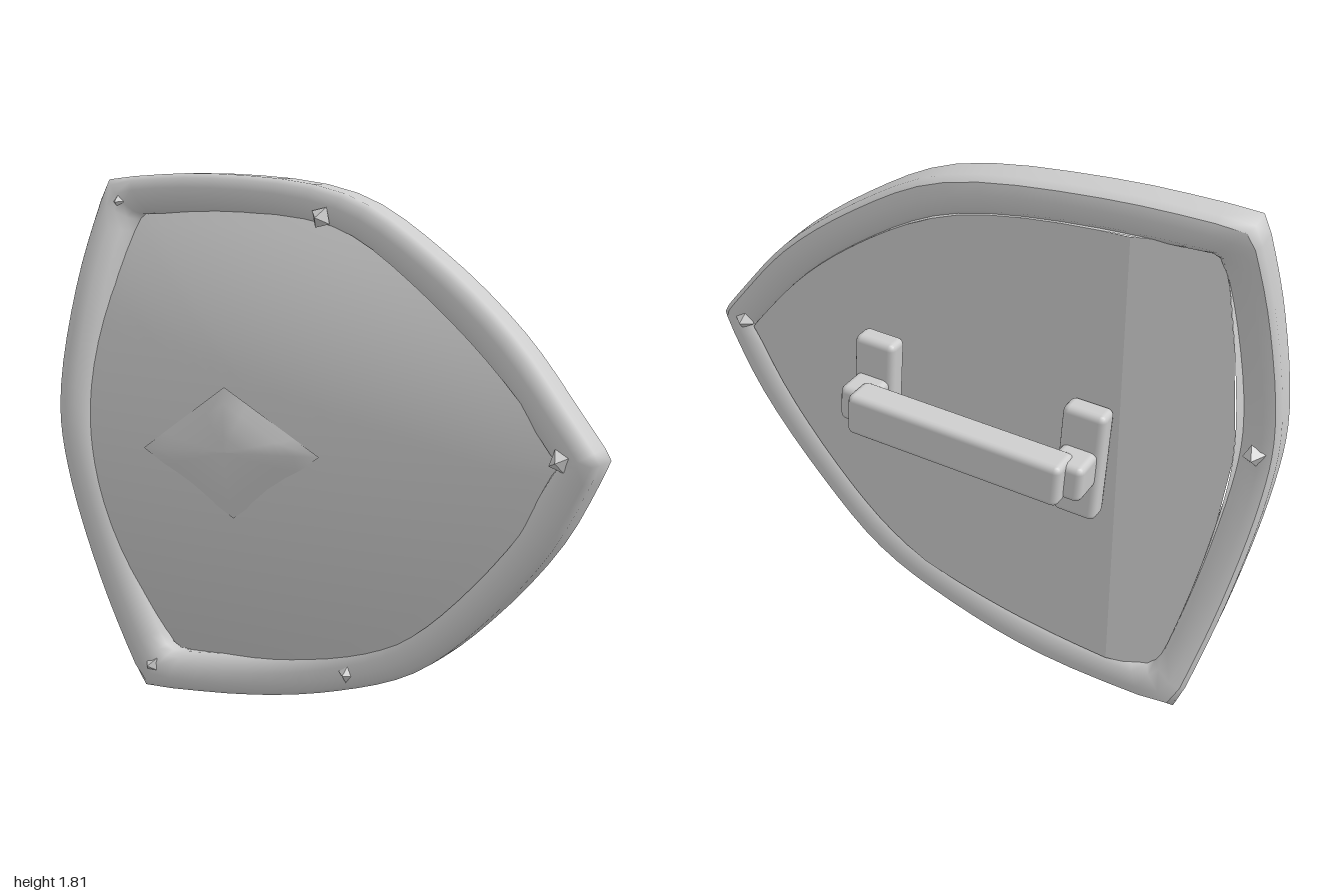
import * as THREE from 'three';
import { RoundedBoxGeometry } from 'three/addons/geometries/RoundedBoxGeometry.js';

const V = (x, y, z) => new THREE.Vector3(x, y, z);
const grey = new THREE.MeshStandardMaterial({ color: 0xcccccc });
const flat = new THREE.MeshStandardMaterial({ color: 0xcccccc, flatShading: true });
const thin = new THREE.MeshStandardMaterial({ color: 0xcccccc, side: THREE.DoubleSide });

// Three curved edges, clockwise from the upper corner; each ends where the next begins
const edges = [
  [[-0.9, 1.8, -0.045], [-0.45, 1.815, -0.03], [0.07, 1.755, 0.01], [0.4, 1.58, 0.06],
    [0.7, 1.35, 0.12], [0.9, 1.13, 0.165], [1.0, 1.01, 0.18]],
  [[1.0, 1.01, 0.18], [0.85, 0.74, 0.155], [0.6, 0.46, 0.11], [0.35, 0.26, 0.06],
    [0.05, 0.14, 0.015], [-0.3, 0.055, -0.025], [-0.79, 0.0, -0.045]],
  [[-0.79, 0.0, -0.045], [-0.9, 0.4, 0.045], [-0.98, 0.8, 0.11], [-1, 1.05, 0.12],
    [-0.96, 1.45, 0.06], [-0.9, 1.8, -0.045]],
];
const outline = edges.flatMap((e) =>
  new THREE.CatmullRomCurve3(e.map((p) => V(...p))).getPoints(24).slice(0, -1));

// Outline moved inward by d (mitred) and along z by dz; corners get rounder further in
function inset(d, dz = 0) {
  const n = outline.length;
  let loop = outline.map((p, i) => {
    const a = p.clone().sub(outline[(i + n - 1) % n]).setZ(0).normalize();
    const b = outline[(i + 1) % n].clone().sub(p).setZ(0).normalize();
    const t = a.clone().add(b).normalize();
    const miter = d / Math.max(0.6, t.dot(a));
    return V(p.x + t.y * miter, p.y - t.x * miter, p.z + dz);
  });
  const w = Math.min(0.25, 0.03 + 2 * d);
  for (let pass = 0; pass < 3; pass++) {
    const last = loop;
    loop = last.map((p, i) => {
      const mid = last[(i + n - 1) % n].clone().add(last[(i + 1) % n]).multiplyScalar(0.5);
      return p.clone().lerp(mid, 2 * w);
    });
  }
  return loop;
}

// Skin over rows of points; faces look along (row direction) x (column direction)
function skin(rows, closed) {
  const n = rows[0].length, index = [];
  for (let j = 0; j < rows.length - 1; j++) {
    for (let i = 0; i < (closed ? n : n - 1); i++) {
      const k = (i + 1) % n, a = j * n + i, b = j * n + k;
      index.push(a, a + n, b, b, a + n, b + n);
    }
  }
  const g = new THREE.BufferGeometry().setFromPoints(rows.flat());
  g.setIndex(index);
  g.computeVertexNormals();
  return g;
}

// Height of the domed front
function domeZ(x, y) {
  const dx = x - 0.05, dy = y - 0.95;
  return 0.278 - 0.43 * dy * dy - (dx < 0 ? 0.14 : 0.12) * dx * dx;
}

// Rear surface: three flat panels folded along two vertical creases
const folds = [[-1, 0], [-0.54, -0.1], [0.15, -0.045], [1, 0.135]];
function backZ(x) {
  const k = x < folds[1][0] ? 0 : x < folds[2][0] ? 1 : 2;
  const [a, b] = [folds[k], folds[k + 1]];
  return THREE.MathUtils.mapLinear(x, a[0], b[0], a[1], b[1]);
}

// Lowest and highest y of a closed loop at a given x
function spanY(loop, x) {
  const ys = [];
  loop.forEach((p, i) => {
    const q = loop[(i + 1) % loop.length];
    if ((p.x <= x) !== (q.x <= x)) ys.push(p.y + (q.y - p.y) * (x - p.x) / (q.x - p.x));
  });
  return [Math.min(...ys), Math.max(...ys)];
}

export function createModel() {
  const model = new THREE.Group();
  const add = (name, geometry, material = grey, parent = model) => {
    const m = new THREE.Mesh(geometry, material);
    m.name = name;
    parent.add(m);
    return m;
  };

  // Rounded rim
  const profile = [[0.015, -0.068], [0, -0.045], [0, 0.045], [0.015, 0.065], [0.045, 0.075],
    [0.08, 0.07], [0.115, 0.045], [0.13, 0.01], [0.125, -0.04], [0.1, -0.068], [0.05, -0.078]];
  const rimRows = profile.map(([d, dz]) => inset(d, dz));
  add('rim', skin([...rimRows, rimRows[0]], true));

  // Domed front
  const edge = inset(0.1), centre = V(0.05, 0.95, 0);
  const frontRows = [];
  for (let k = 12; k >= 0; k--) {
    frontRows.push(edge.map((p) => {
      const q = centre.clone().lerp(p, k / 12);
      return q.setZ(domeZ(q.x, q.y));
    }));
  }
  add('frontPanel', skin(frontRows, true));

  // Folded rear panels and their side wall
  const loop = inset(0.115);
  const xs = loop.map((p) => p.x);
  const x0 = Math.min(...xs) + 0.001, x1 = Math.max(...xs) - 0.001;
  const columns = [folds[1][0], folds[2][0]];
  for (let i = 0; i <= 60; i++) columns.push(x0 + (x1 - x0) * i / 60);
  columns.sort((a, b) => a - b);
  const backRows = [0, 1].map((s) => columns.map((x) => V(x, spanY(loop, x)[s], backZ(x))));
  add('backPanel', skin(backRows, false), flat);
  add('backPanelEdge', skin([loop.map((p) => V(p.x, p.y, backZ(p.x))), loop], true), thin);

  // Diamond boss, slightly swollen, with a soft level ridge
  const corners = [V(-0.6, 0.92, 0.225), V(-0.25, 1.15, 0.265), V(0.11, 0.96, 0.284), V(-0.23, 0.725, 0.25)];
  const ring = corners.flatMap((p, i) =>
    [0, 0.25, 0.5, 0.75].map((t) => p.clone().lerp(corners[(i + 1) % 4], t)));
  const apex = V(-0.22, 0.95, 0.312);
  const bossRows = [0, 0.25, 0.5, 0.75, 1].map((t) => ring.map((p) =>
    p.clone().lerp(apex, t).add(V(0, 0, 0.01 * Math.sin(Math.PI * t)))));
  add('boss', skin(bossRows, true), thin);

  // Small faceted rivets, front and back
  const studs = [[-0.83, 1.72, 0.02], [0, 1.68, 0.085], [0.88, 1.01, 0.24], [0.1, 0.215, 0.085],
    [-0.73, 0.1, 0.025], [0.9, 1.01, 0.105], [-0.93, 0.97, 0.045]];
  studs.forEach(([x, y, z], i) => {
    const s = add('rivet', new THREE.OctahedronGeometry(0.038), flat);
    s.position.set(x, y, z);
    s.rotation.z = i;
  });

  // Handle, squared to the middle rear panel
  const handle = new THREE.Group();
  handle.name = 'handle';
  handle.position.set(-0.075, 0.955, -0.065);
  handle.rotation.set(0, -0.085, 0.06);
  model.add(handle);
  const block = (name, w, h, d, x, y, z) =>
    add(name, new RoundedBoxGeometry(w, h, d, 2, 0.022), grey, handle).position.set(x, y, z);
  for (const s of [-1, 1]) {
    block('handleMount', 0.145, 0.39, 0.08, s * 0.37, 0, -0.035);
    block('handlePost', 0.12, 0.125, 0.16, s * 0.37, 0, -0.1);
  }
  block('grip', 0.75, 0.145, 0.115, 0, 0, -0.168);

  return model;
}
